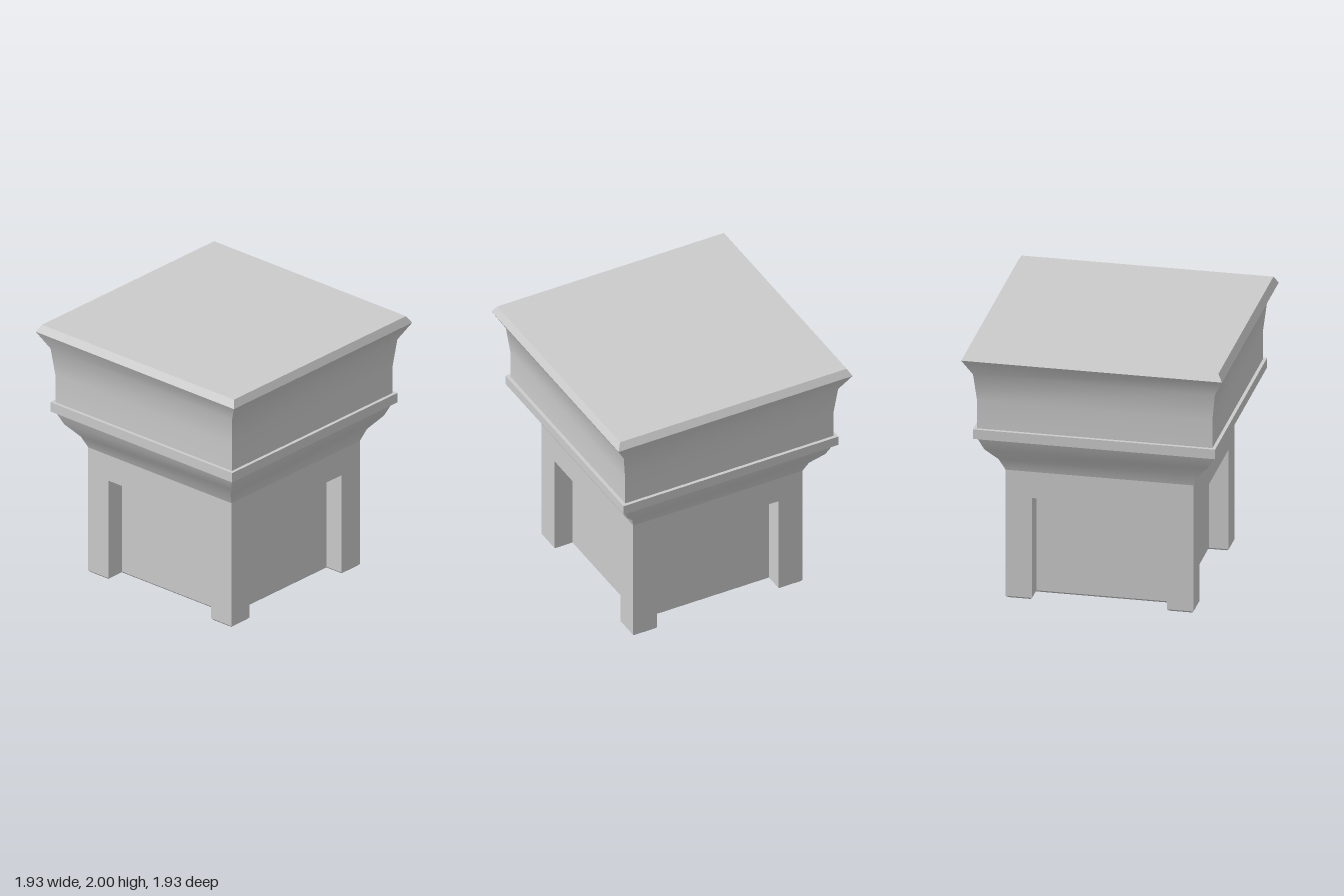
import * as THREE from 'three';
import { toCreasedNormals } from 'three/addons/utils/BufferGeometryUtils.js';

const material = new THREE.MeshStandardMaterial({ color: 0xcccccc });

// Skin a stack of matching outlines, bottom to top. Each ring is { y, pts: [[x, z], ...] },
// its points running from +z towards +x (counter-clockwise seen from above).
function loft(name, rings, { capBottom = true, capTop = true, crease = 0.55 } = {}) {
  const pos = [];
  const put = (p, y) => pos.push(p[0], y, p[1]);
  for (let r = 0; r < rings.length - 1; r++) {
    const a = rings[r], b = rings[r + 1], n = a.pts.length;
    for (let i = 0; i < n; i++) {
      const j = (i + 1) % n;
      put(a.pts[i], a.y); put(a.pts[j], a.y); put(b.pts[j], b.y);
      put(a.pts[i], a.y); put(b.pts[j], b.y); put(b.pts[i], b.y);
    }
  }
  const cap = ({ y, pts }, up) => {
    const contour = pts.map(([x, z]) => new THREE.Vector2(x, -z));
    for (const [a, b, c] of THREE.ShapeUtils.triangulateShape(contour, [])) {
      for (const i of up ? [a, b, c] : [a, c, b]) put(pts[i], y);
    }
  };
  if (capBottom) cap(rings[0], false);
  if (capTop) cap(rings[rings.length - 1], true);
  const geometry = new THREE.BufferGeometry();
  geometry.setAttribute('position', new THREE.Float32BufferAttribute(pos, 3));
  const mesh = new THREE.Mesh(toCreasedNormals(geometry, crease), material);
  mesh.name = name;
  return mesh;
}

// Rectangular ring with half-widths x and z
const rect = ([x, z, y]) => ({ y, pts: [[-x, z], [x, z], [x, -z], [-x, -z]] });

// Square with a shallow recess in each side, shrunk inwards by d
function recessed(y, d) {
  const outer = 0.697 - d, inner = 0.55 - d, post = 0.5 + d;
  const corner = [[post, inner], [post, outer], [outer, outer], [outer, post], [inner, post]];
  const pts = [];
  for (let q = 0; q < 4; q++) {
    for (let [x, z] of corner) {
      for (let k = 0; k < q; k++) [x, z] = [z, -x];
      pts.push([x, z]);
    }
  }
  return { y, pts };
}

export function createModel() {
  const group = new THREE.Group();
  group.name = 'pedestalCapital';

  // Lower body: corner posts around recessed panels, chamfered at the foot
  group.add(loft('panelledBase', [
    recessed(0, 0.015), recessed(0.015, 0), recessed(0.8, 0),
  ], { capTop: false, crease: 0.3 }));

  // Solid neck closing the recesses
  group.add(loft('neck', [[0.697, 0.697, 0.8], [0.697, 0.697, 1.005]].map(rect)));

  // Flaring moulding under the band
  group.add(loft('lowerMoulding', [
    [0.697, 0.697, 1.005], [0.74, 0.728, 1.095], [0.827, 0.815, 1.2], [0.873, 0.86, 1.305],
  ].map(rect), { capBottom: false, capTop: false }));

  // Projecting flat band
  group.add(loft('band', [[0.898, 0.885, 1.305], [0.898, 0.885, 1.38]].map(rect)));

  // Concave upper moulding ending in a bevelled top slab
  group.add(loft('upperMoulding', [
    [0.873, 0.859, 1.38], [0.873, 0.859, 1.6], [0.897, 0.883, 1.81],
    [0.967, 0.964, 1.945], [0.934, 0.934, 2],
  ].map(rect), { capBottom: false }));

  return group;
}
